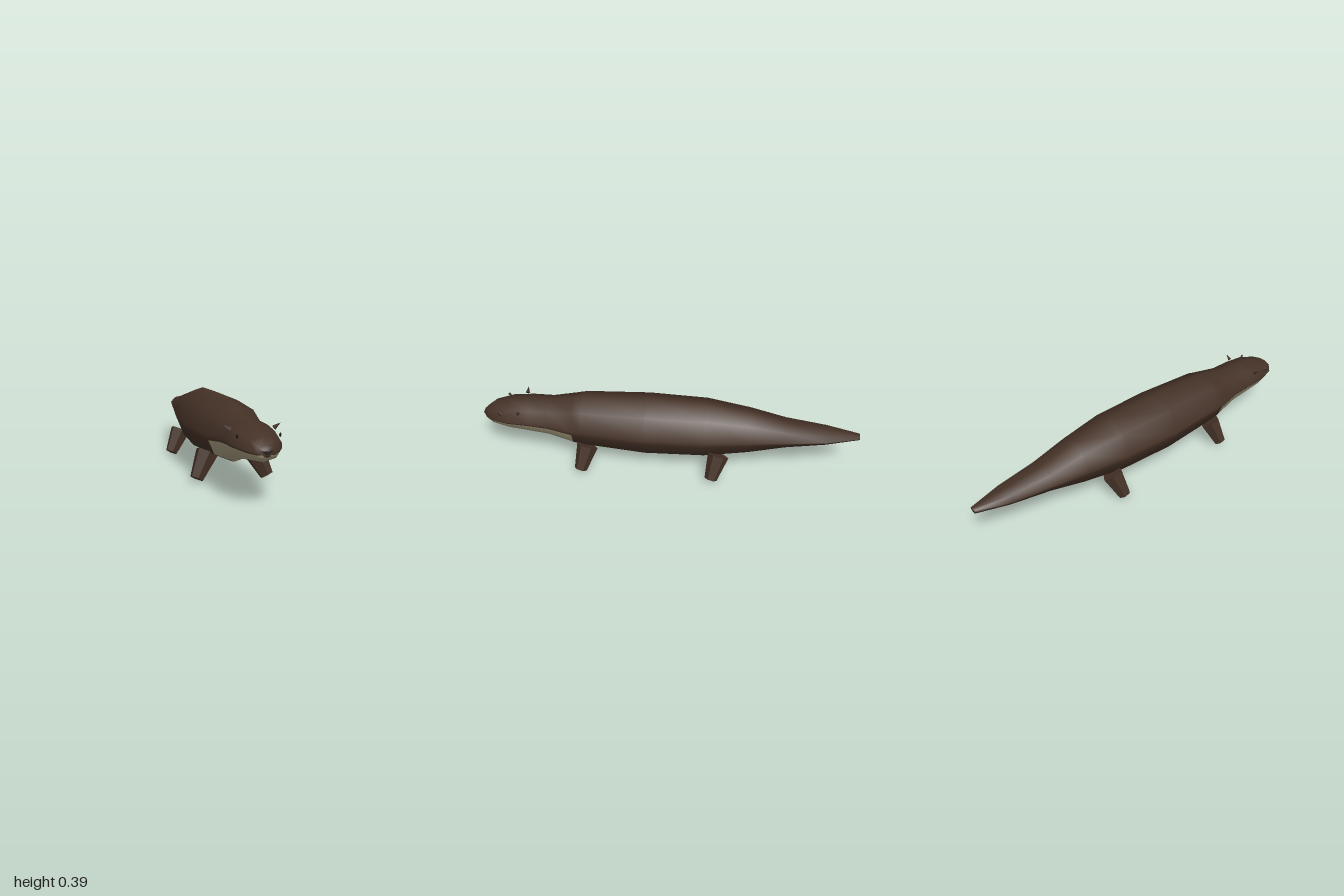
import * as THREE from 'three';

const mat = (name, color) => Object.assign(new THREE.MeshStandardMaterial({ color }), { name });

// Body cross-sections from tail to nose: z, half width, bottom y, top y, throat line (0 = widest point, 1 = lower corner)
const SECTIONS = [
  [-1.0, 0.022, 0.225, 0.252, 0.3],
  [-0.83, 0.072, 0.2, 0.273, 0.3],
  [-0.62, 0.1, 0.17, 0.298, 0.3],
  [-0.43, 0.124, 0.118, 0.35, 0.3],
  [-0.2, 0.155, 0.08, 0.388, 0.3],
  [0.11, 0.165, 0.071, 0.394, 0.3],
  [0.45, 0.146, 0.094, 0.38, 0.3],
  [0.5, 0.139, 0.102, 0.368, 0.28],
  [0.63, 0.115, 0.14, 0.341, 0.26],
  [0.74, 0.115, 0.158, 0.337, 0.25],
  [0.85, 0.112, 0.174, 0.322, 0.25],
  [0.945, 0.08, 0.187, 0.295, 0.3],
  [0.985, 0.045, 0.203, 0.265, 0.45],
  [1.0, 0.02, 0.215, 0.252, 0.6],
];
const THROAT_START = 7; // first section with a pale underside

// Eight-sided ring plus one extra point per side where the throat colour begins
function ring([z, w, bottom, top, t]) {
  const cy = (top + bottom) / 2, h = (top - bottom) / 2;
  const p = Array.from({ length: 8 }, (_, k) =>
    new THREE.Vector3(w * Math.cos(k * Math.PI / 4), cy + h * Math.sin(k * Math.PI / 4), z));
  return [...p.slice(0, 5), p[4].clone().lerp(p[5], t), ...p.slice(5), p[0].clone().lerp(p[7], t)];
}

function bodyGeometry() {
  const N = 10, points = SECTIONS.flatMap(ring);
  const upper = [], throat = [];
  for (let i = 0; i < SECTIONS.length - 1; i++) {
    for (let j = 0; j < N; j++) {
      const a = i * N + j, b = i * N + (j + 1) % N;
      const target = i >= THROAT_START && j >= 5 && j <= 8 ? throat : upper;
      target.push(a, b, b + N, a, b + N, a + N);
    }
  }
  // End caps at tail tip and muzzle
  const last = (SECTIONS.length - 1) * N;
  for (let j = 1; j < N - 1; j++) {
    upper.push(0, j + 1, j);
    upper.push(last, last + j, last + j + 1);
  }
  const g = new THREE.BufferGeometry().setFromPoints(points);
  g.setIndex([...upper, ...throat]);
  g.addGroup(0, upper.length, 0);
  g.addGroup(upper.length, throat.length, 1);
  g.computeVertexNormals();
  return g;
}

export function createModel() {
  const fur = mat('brown fur', 0x453227);
  const pale = mat('pale throat', 0xaa9f82);
  const dark = mat('dark features', 0x1f1713);
  const model = new THREE.Group();
  model.name = 'otter';

  const add = (name, geometry, material) => {
    const mesh = new THREE.Mesh(geometry, material);
    mesh.name = name;
    model.add(mesh);
    return mesh;
  };

  add('body', bodyGeometry(), [fur, pale]);

  // Tapered six-sided leg, splayed outward
  const up = new THREE.Vector3(0, 1, 0);
  const leg = (name, side, z) => {
    const hip = new THREE.Vector3(side * 0.115, 0.138, z);
    const foot = new THREE.Vector3(side * 0.173, 0.019, z + 0.032);
    const axis = hip.clone().sub(foot);
    const g = new THREE.CylinderGeometry(0.056, 0.033, axis.length(), 6).toNonIndexed();
    g.computeVertexNormals();
    const mesh = add(name, g, fur);
    mesh.quaternion.setFromUnitVectors(up, axis.normalize());
    mesh.position.copy(hip).add(foot).multiplyScalar(0.5);
  };

  for (const [label, side] of [['left', 1], ['right', -1]]) {
    leg(label + 'FrontLeg', side, 0.42);
    leg(label + 'HindLeg', side, -0.278);

    // Small pointed ear
    const ear = add(label + 'Ear', new THREE.ConeGeometry(0.012, 0.036, 4), fur);
    ear.position.set(side * 0.112, 0.313, 0.785);
    ear.rotation.z = -side * 0.95;

    // Eye
    const eye = add(label + 'Eye', new THREE.OctahedronGeometry(0.011), dark);
    eye.position.set(side * 0.093, 0.288, 0.885);
    eye.scale.x = 0.6;
  }

  // Triangular nose plate
  const tri = new THREE.Shape([[-0.028, 0.008], [0, -0.008], [0.028, 0.008]].map(([x, y]) => new THREE.Vector2(x, y)));
  const nose = add('nose', new THREE.ExtrudeGeometry(tri, { depth: 0.009, bevelEnabled: false }), dark);
  nose.position.set(0, 0.234, 0.993);

  // Settle the feet on the ground and centre the length
  const box = new THREE.Box3().setFromObject(model, true);
  const shift = new THREE.Vector3(0, -box.min.y, -(box.min.z + box.max.z) / 2);
  model.children.forEach((m) => m.position.add(shift));
  return model;
}
